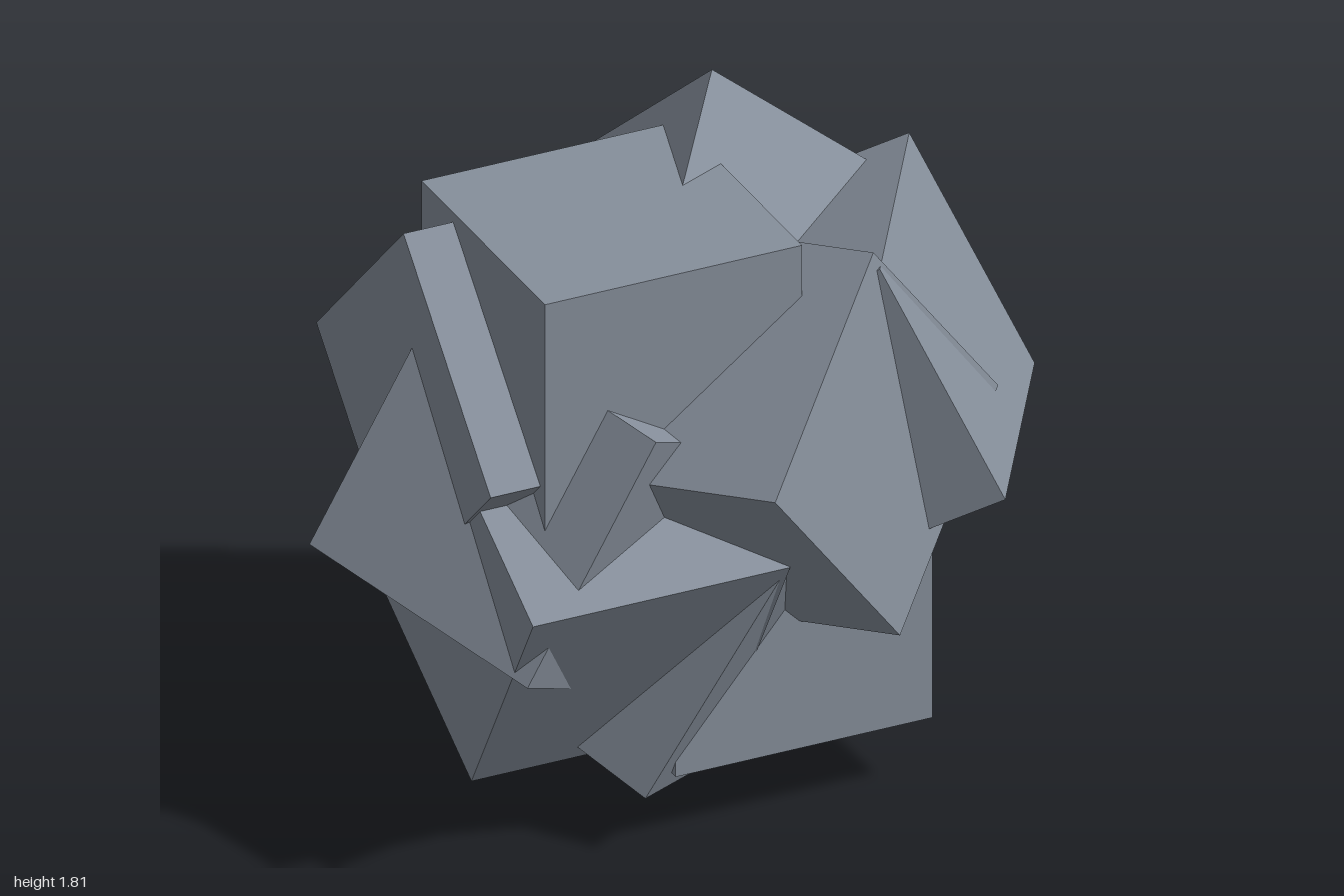
import * as THREE from 'three';

const EDGE = 0.725;

// Each cube: name, centre, direction of its first edge, direction of its second edge
const X = [1, 0, 0], Y = [0, 1, 0];
const CUBES = [
  // upright cubes
  ['upperCube', [-0.208, 1.283, 0.047], X, Y],
  ['lowerCube', [0.158, 0.553, 0.052], X, Y],
  ['innerCube', [-0.14, 0.838, -0.243], X, Y],
  // cubes turned about the x axis only
  ['diamondCube', [-0.348, 1.105, -0.13], X, [0, 1, 1]],
  ['leaningCube', [-0.338, 0.709, 0.116], X, [0, 0.866, 0.5]],
  // freely tumbled cubes
  ['sideCube', [0.39, 1.08, 0.083], [-0.523, 0, 0.853], [0.379, -0.897, 0.228]],
  ['frontCube', [0.128, 1.053, 0.266], [-0.62, -0.607, 0.497], [0.593, -0.772, -0.22]],
  ['outerCube', [-0.39, 0.876, 0.053], [0.5, 0.866, 0], [0.75, -0.433, -0.5]],
  ['topCube', [0.184, 1.189, -0.169], [-0.307, -0.662, -0.683], [0.768, -0.598, 0.229]],
  ['backCube', [0.123, 0.861, -0.291], [0.866, 0.5, 0], [0.13, -0.224, 0.966]],
  ['bottomBackCube', [-0.012, 0.562, -0.22], [0.5, -0.47, 0.73], [-0.87, -0.235, 0.435]],
  ['bottomFrontCube', [-0.056, 0.553, 0.014], [-0.75, 0.226, 0.622], [0.426, 0.881, 0.205]],
];

// Rotation whose x and y axes follow two nearly perpendicular directions
function orientation(first, second) {
  const x = new THREE.Vector3(...first).normalize();
  const z = x.clone().cross(new THREE.Vector3(...second)).normalize();
  const y = z.clone().cross(x);
  return new THREE.Matrix4().makeBasis(x, y, z);
}

export function createModel() {
  const model = new THREE.Group();
  model.name = 'cubeCluster';

  const slate = new THREE.MeshStandardMaterial({ color: 0x868f9b });
  slate.name = 'slateGrey';

  const box = new THREE.BoxGeometry(EDGE, EDGE, EDGE);
  for (const [name, centre, first, second] of CUBES) {
    const cube = new THREE.Mesh(box, slate);
    cube.name = name;
    cube.position.set(...centre);
    cube.quaternion.setFromRotationMatrix(orientation(first, second));
    model.add(cube);
  }
  return model;
}
